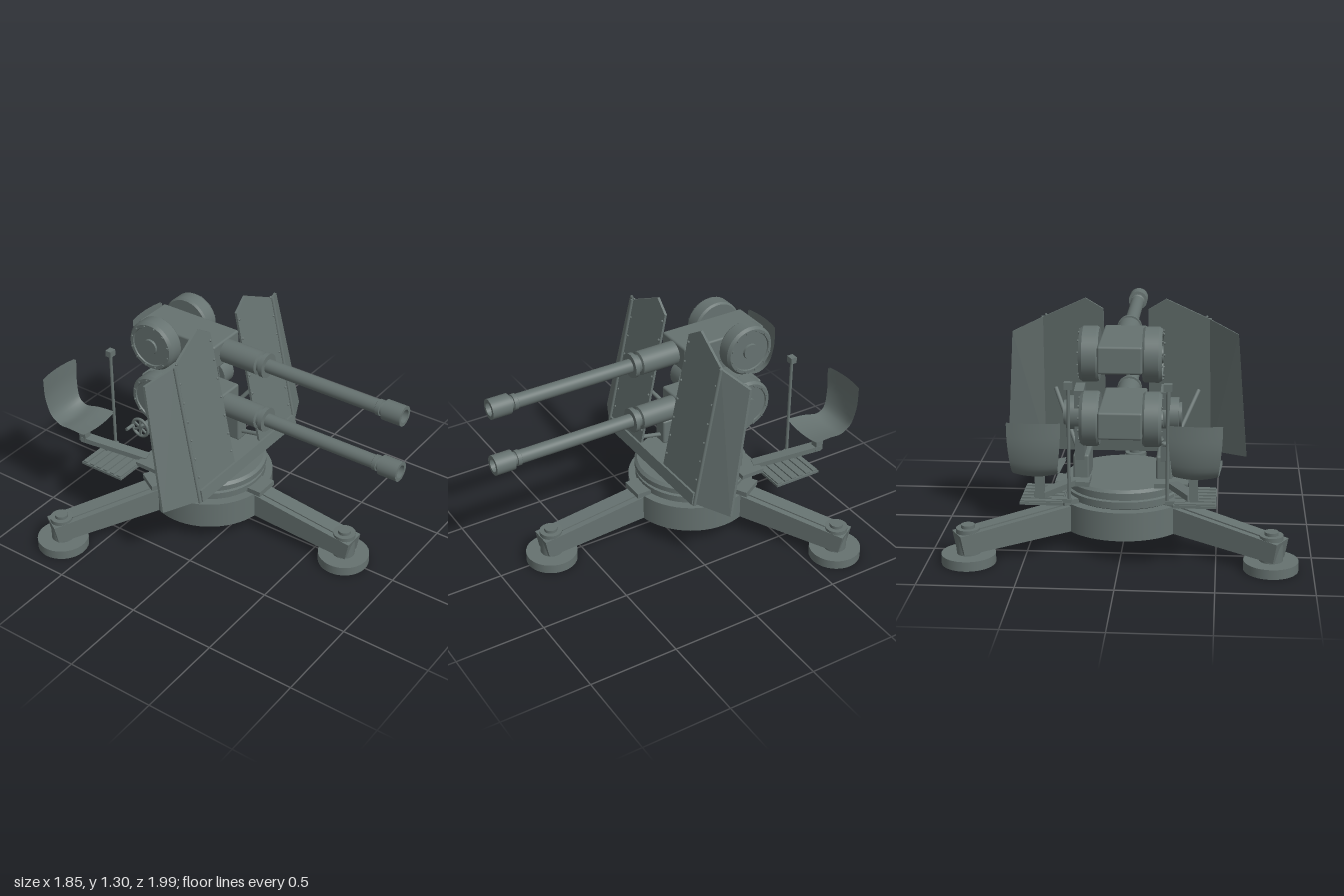
import * as THREE from 'three';
import { ConvexGeometry } from 'three/addons/geometries/ConvexGeometry.js';
import { RoundedBoxGeometry } from 'three/addons/geometries/RoundedBoxGeometry.js';

const steel = new THREE.MeshStandardMaterial({ color: 0x667270 });
const thin = new THREE.MeshStandardMaterial({ color: 0x667270, side: THREE.DoubleSide });
const V = (x, y, z) => new THREE.Vector3(x, y, z);
const BASE_Z = -0.22;

function add(parent, name, geo, x = 0, y = 0, z = 0, mat = steel) {
  const m = new THREE.Mesh(geo, mat);
  m.name = name;
  m.position.set(x, y, z);
  parent.add(m);
  return m;
}
function group(parent, name) {
  const g = new THREE.Group();
  g.name = name;
  parent.add(g);
  return g;
}
const box = (w, h, d) => new THREE.BoxGeometry(w, h, d);
const cyl = (r, h, n = 32) => new THREE.CylinderGeometry(r, r, h, n);
const cylX = (r, h, n) => cyl(r, h, n).rotateZ(Math.PI / 2);

// Side profile given as [z, y], extruded to a width centred on x = 0
function sideProfile(points, width) {
  const shape = new THREE.Shape(points.map(([z, y]) => new THREE.Vector2(z, y)));
  return new THREE.ExtrudeGeometry(shape, { depth: width, bevelEnabled: false })
    .translate(0, 0, -width / 2).rotateY(-Math.PI / 2);
}
// Sharp-edged turned part: each profile segment is its own lathe band
function turned(parent, name, points) {
  const g = group(parent, name);
  for (let i = 0; i < points.length - 1; i++) {
    const pair = [points[i], points[i + 1]].map(([r, y]) => new THREE.Vector2(r, y));
    add(g, name + 'Band', new THREE.LatheGeometry(pair, 40), 0, 0, 0, thin);
  }
  return g;
}
function rod(parent, name, a, b, r) {
  const m = add(parent, name, cyl(r, a.distanceTo(b), 12));
  m.position.copy(a).lerp(b, 0.5);
  m.quaternion.setFromUnitVectors(V(0, 1, 0), b.clone().sub(a).normalize());
  return m;
}
const slab = (pts, t) => new ConvexGeometry([...pts, ...pts.map(p => p.clone().add(V(0, 0, -t)))]);

// Drum, turntable and three outriggers
function buildBase(root) {
  const base = group(root, 'base');
  base.position.z = BASE_Z;
  add(base, 'baseDrum', cyl(0.355, 0.155, 56), 0, 0.172, 0);
  turned(base, 'turntable', [[0, 0.25], [0.3, 0.25], [0.315, 0.258], [0.315, 0.295], [0.3, 0.3], [0.3, 0.312],
    [0.32, 0.316], [0.32, 0.345], [0.305, 0.36], [0, 0.36]]);
  for (let i = 0; i < 3; i++) {
    const leg = group(base, 'outrigger');
    leg.rotation.y = i * Math.PI * 2 / 3;
    add(leg, 'legBeam', sideProfile([[0.28, 0.1], [0.95, 0.06], [0.97, 0.165], [0.28, 0.245]], 0.125));
    add(leg, 'legRib', sideProfile([[0.3, 0.2], [0.85, 0.15], [0.85, 0.186], [0.3, 0.25]], 0.06));
    add(leg, 'legHinge', box(0.14, 0.03, 0.2), 0, 0.262, 0.29);
    add(leg, 'footPost', cyl(0.062, 0.14), 0, 0.12, 0.905);
    add(leg, 'footKnob', cyl(0.036, 0.025), 0, 0.195, 0.905);
    add(leg, 'footPad', cyl(0.142, 0.052, 40), 0, 0.026, 0.905);
  }
}

// Cheeks that carry the trunnions
function buildMount(root) {
  const mount = group(root, 'mount');
  for (const s of [-1, 1]) {
    add(mount, 'cheekFoot', new RoundedBoxGeometry(0.085, 0.15, 0.25, 2, 0.012), s * 0.22, 0.435, -0.275);
    add(mount, 'cheekArm', sideProfile([[-0.28, 0.48], [-0.275, 0.6], [-0.325, 0.885], [-0.445, 0.87], [-0.40, 0.48]], 0.05),
      s * 0.225, 0, 0);
    add(mount, 'trunnion', cylX(0.09, 0.09), s * 0.25, 0.73, -0.355);
    add(mount, 'trunnionCap', cylX(0.065, 0.02), s * 0.3, 0.73, -0.355);
  }
  // Elevation handwheel on the right side
  const wheel = group(mount, 'handwheel');
  wheel.position.set(-0.31, 0.6, -0.47);
  add(wheel, 'wheelRim', new THREE.TorusGeometry(0.053, 0.009, 10, 32).rotateY(Math.PI / 2));
  for (let i = 0; i < 3; i++) add(wheel, 'wheelSpoke', box(0.01, 0.1, 0.012)).rotation.x = i * Math.PI / 3;
  add(wheel, 'wheelShaft', cylX(0.014, 0.1, 12), 0.045, 0, 0);
  add(wheel, 'wheelHandle', cylX(0.01, 0.06, 12), -0.03, 0, -0.05);
}

// One gun: receiver, side drums and barrel
function buildGun(root, y) {
  const gun = group(root, 'gun');
  gun.position.y = y;
  add(gun, 'receiver', new RoundedBoxGeometry(0.23, 0.145, 0.51, 2, 0.012), 0, 0, -0.355);
  const barrel = turned(gun, 'barrel', [[0, -0.12], [0.065, -0.12], [0.065, 0.12], [0.05, 0.125], [0.05, 0.148],
    [0.068, 0.148], [0.068, 0.172], [0.038, 0.172], [0.038, 0.845], [0.043, 0.848], [0.043, 0.87],
    [0.036, 0.872], [0.036, 0.888], [0.055, 0.89], [0.055, 1], [0.036, 1], [0.036, 0.9], [0, 0.9]]);
  barrel.rotation.x = Math.PI / 2;
  for (const s of [-1, 1]) {
    const drum = turned(gun, 'ammoDrum', [[0, 0], [0.135, 0], [0.144, 0.012], [0.144, 0.083], [0.132, 0.1],
      [0.115, 0.1], [0.112, 0.092], [0.045, 0.092], [0.043, 0.104], [0, 0.104]]);
    drum.rotation.z = -s * Math.PI / 2;
    drum.position.set(s * 0.112, 0, -0.46);
    for (let i = 0; i < 12; i++) {
      const a = (i + 0.5) * Math.PI / 6;
      add(drum, 'drumBolt', cyl(0.006, 0.01, 8), 0.123 * Math.cos(a), 0.102, 0.123 * Math.sin(a));
    }
  }
}

// Sloped two-panel shield halves, hinge strips, rivets and braces
function buildShield(root) {
  const shield = group(root, 'shield');
  const zAt = y => 0.047 - 0.2 * (y - 0.41);
  const P = (s, x, y, dz = 0) => V(s * x, y, zAt(y) + dz);
  for (const s of [-1, 1]) {
    add(shield, 'shieldPanel', slab([P(s, 0.12, 0.41), P(s, 0.12, 1.24), P(s, 0.215, 1.3), P(s, 0.445, 1.19), P(s, 0.46, 0.41)], 0.014));
    add(shield, 'shieldWing', slab([P(s, 0.46, 0.41), P(s, 0.445, 1.19), V(s * 0.6, 1.125, -0.185), V(s * 0.657, 0.41, -0.05)], 0.014));
    rod(shield, 'hingeStrip', P(s, 0.459, 0.4), P(s, 0.446, 1.19), 0.01);
    for (let i = 0; i < 7; i++) {
      const y = 0.54 + i * 0.11;
      add(shield, 'rivet', new THREE.SphereGeometry(0.008, 8, 6)).position.copy(P(s, 0.133, y));
      add(shield, 'rivet', new THREE.SphereGeometry(0.007, 8, 6)).position.copy(P(s, 0.43, y));
    }
    rod(shield, 'brace', V(s * 0.39, 0.78, -0.05), V(s * 0.24, 0.48, -0.28), 0.012);
    rod(shield, 'lowerBrace', V(s * 0.22, 0.44, 0.02), V(s * 0.22, 0.4, -0.18), 0.012);
  }
  add(shield, 'shieldLip', slab([P(-1, 0.45, 0.4, 0.012), P(1, 0.45, 0.4, 0.012), P(1, 0.445, 0.467, 0.012), P(-1, 0.445, 0.467, 0.012)], 0.025));
}

// Crew station: curved seat, arm, slatted footplate and sight rod
function buildStation(root, s) {
  const st = group(root, s > 0 ? 'leftStation' : 'rightStation');
  const curve = new THREE.CatmullRomCurve3([V(0, 0.565, -0.7), V(0, 0.56, -0.8), V(0, 0.55, -0.89),
    V(0, 0.59, -0.955), V(0, 0.7, -0.985), V(0, 0.845, -0.985)]);
  // Two skins of the seat, with the sides curling up and forward
  for (const off of [0, 0.012]) {
    const seat = new THREE.PlaneGeometry(2, 1, 8, 20);
    const p = seat.attributes.position;
    for (let i = 0; i < p.count; i++) {
      const u = p.getX(i), t = p.getY(i) + 0.5;
      const c = curve.getPoint(t), d = curve.getTangent(t);
      const lift = 0.016 * u * u + off;
      const half = 0.122 + 0.01 * Math.cos(t * Math.PI * 2);
      p.setXYZ(i, u * half, c.y - d.z * lift, c.z + d.y * lift);
    }
    seat.computeVertexNormals();
    add(st, 'seat', seat, s * 0.395, 0, 0, thin);
  }
  add(st, 'seatPost', box(0.045, 0.13, 0.045), s * 0.385, 0.485, -0.82);
  // Arm rising from the turntable to the seat post
  const a = V(s * 0.27, 0.375, -0.46), b = V(s * 0.385, 0.435, -0.835);
  const arm = add(st, 'seatArm', box(0.06, 0.03, a.distanceTo(b)));
  arm.position.copy(a).lerp(b, 0.5);
  arm.lookAt(b);
  add(st, 'stationBracket', box(0.18, 0.025, 0.14), s * 0.26, 0.372, -0.41);
  add(st, 'footplate', box(0.22, 0.014, 0.28), s * 0.39, 0.356, -0.61);
  for (let i = 0; i < 6; i++) add(st, 'tread', box(0.21, 0.008, 0.028), s * 0.39, 0.367, -0.49 - i * 0.048);
  add(st, 'rodBracket', box(0.1, 0.02, 0.03), s * 0.29, 0.365, -0.71);
  rod(st, 'sightRod', V(s * 0.25, 0.36, -0.71), V(s * 0.25, 0.96, -0.71), 0.009);
  add(st, 'sightBlock', box(0.042, 0.036, 0.036), s * 0.25, 0.97, -0.71);
}

export function createModel() {
  const root = new THREE.Group();
  root.name = 'twinGunMount';
  buildBase(root);
  buildMount(root);
  for (const y of [0.73, 1.075]) buildGun(root, y);
  buildShield(root);
  for (const s of [-1, 1]) buildStation(root, s);
  return root;
}
